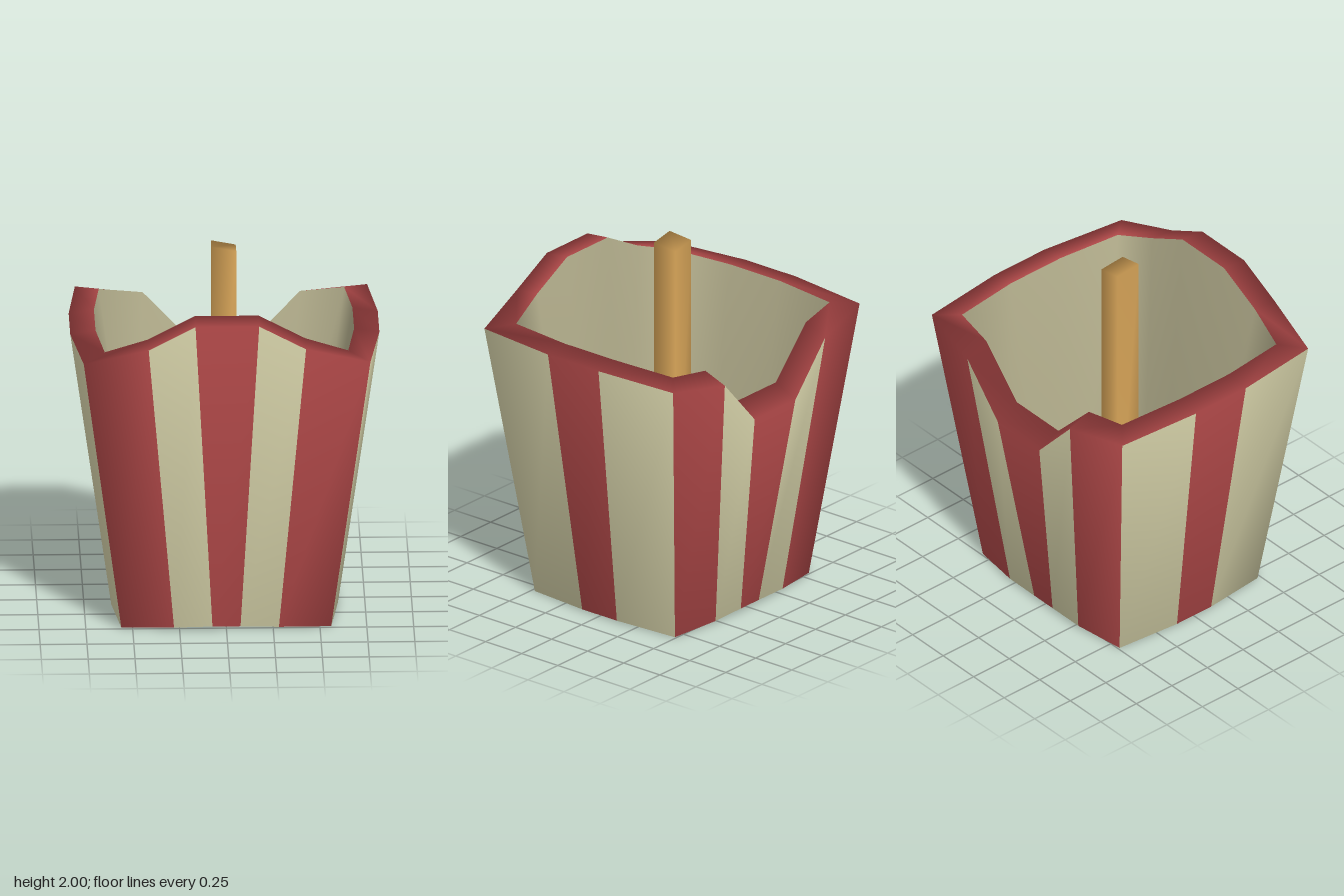
import * as THREE from 'three';
import { mergeVertices } from 'three/addons/utils/BufferGeometryUtils.js';

// One row per corner of the +x half, front to back: outer rim, outer base, inner rim, floor (x, z)
const HALF = [
  [[0.17, 1.77, 0.72], [0.075, 0.02, 0.53], [0.17, 1.785, 0.58], [0.12, 0.40]],
  [[0.42, 1.64, 0.72], [0.28, 0.015, 0.53], [0.42, 1.655, 0.58], [0.28, 0.40]],
  [[0.765, 1.545, 0.66], [0.56, 0, 0.48], [0.65, 1.57, 0.535], [0.45, 0.365]],
  [[0.825, 1.55, 0.17], [0.605, 0.01, 0.115], [0.69, 1.57, 0.17], [0.485, 0.13]],
  [[0.825, 1.55, -0.18], [0.605, 0.01, -0.125], [0.69, 1.57, -0.18], [0.485, -0.14]],
  [[0.78, 1.54, -0.66], [0.56, 0, -0.49], [0.655, 1.56, -0.555], [0.45, -0.39]],
  [[0.42, 1.48, -0.72], [0.28, 0.015, -0.54], [0.42, 1.53, -0.585], [0.28, -0.425]],
  [[0.17, 1.2, -0.72], [0.075, 0.02, -0.545], [0.17, 1.265, -0.585], [0.12, -0.43]],
];
const FLOOR_Y = 0.1;

function material(name, color) {
  const m = new THREE.MeshStandardMaterial({ color });
  m.name = name;
  return m;
}

// Full closed loop of one column of HALF, mirrored across x
function ring(column) {
  const half = HALF.map((row) => {
    const p = row[column];
    return p.length === 2 ? [p[0], FLOOR_Y, p[1]] : p;
  });
  return [...half, ...half.map(([x, y, z]) => [-x, y, z]).reverse()];
}

function buildGeometry(points, faceSets) {
  const geometry = new THREE.BufferGeometry();
  geometry.setAttribute('position', new THREE.Float32BufferAttribute(points.flat(), 3));
  geometry.setIndex(faceSets.flat());
  let start = 0;
  faceSets.forEach((set, i) => {
    geometry.addGroup(start, set.length, i);
    start += set.length;
  });
  geometry.computeVertexNormals();
  return geometry;
}

export function createModel() {
  const red = material('stripeRed', 0xb84c4c);
  const cream = material('stripeCream', 0xdcd8ae);
  const lining = material('liningCream', 0xb2ad8b);
  const shade = material('floorShade', 0x75725d);
  const wood = material('wood', 0xdca85a);
  const group = new THREE.Group();
  group.name = 'stripedBucket';

  // Striped walls, rim, lining and underside as one smooth skin
  const rings = [ring(1), ring(0), ring(2), ring(3)];
  const n = rings[0].length;
  const points = [...rings.flat(), [0, 0.02, 0]];
  const redFaces = [], creamFaces = [], liningFaces = [];
  for (let i = 0; i < n; i++) {
    const j = (i + 1) % n;
    const band = (set, level) => {
      const a = level * n + i, b = level * n + j;
      set.push(a, b, b + n, a, b + n, a + n);
    };
    band(i % 2 ? redFaces : creamFaces, 0);
    band(redFaces, 1);
    band(liningFaces, 2);
    redFaces.push(j, i, 4 * n);
  }
  const bucket = new THREE.Mesh(
    buildGeometry(points, [redFaces, creamFaces, liningFaces]),
    [red, cream, lining],
  );
  bucket.name = 'bucket';
  group.add(bucket);

  // Flat inside floor
  const floorFaces = [];
  for (let i = 0; i < n; i++) floorFaces.push(i, (i + 1) % n, n);
  const floor = new THREE.Mesh(
    buildGeometry([...rings[3], [0, FLOOR_Y, 0]], [floorFaces]),
    [shade],
  );
  floor.name = 'insideFloor';
  group.add(floor);

  // Wooden stick with a slanted top and softened shading
  let box = new THREE.BoxGeometry(0.132, 1.9, 0.15);
  box.deleteAttribute('uv');
  box.deleteAttribute('normal');
  box = mergeVertices(box);
  const pos = box.attributes.position;
  for (let i = 0; i < pos.count; i++) {
    if (pos.getY(i) < 0) continue;
    const drop = (pos.getX(i) > 0 ? 0.025 : 0) + (pos.getZ(i) < 0 ? 0.012 : 0);
    pos.setY(i, pos.getY(i) - drop);
  }
  box.computeVertexNormals();
  const stick = new THREE.Mesh(box, wood);
  stick.name = 'stick';
  stick.position.set(-0.002, 1.05, -0.008);
  group.add(stick);

  return group;
}
